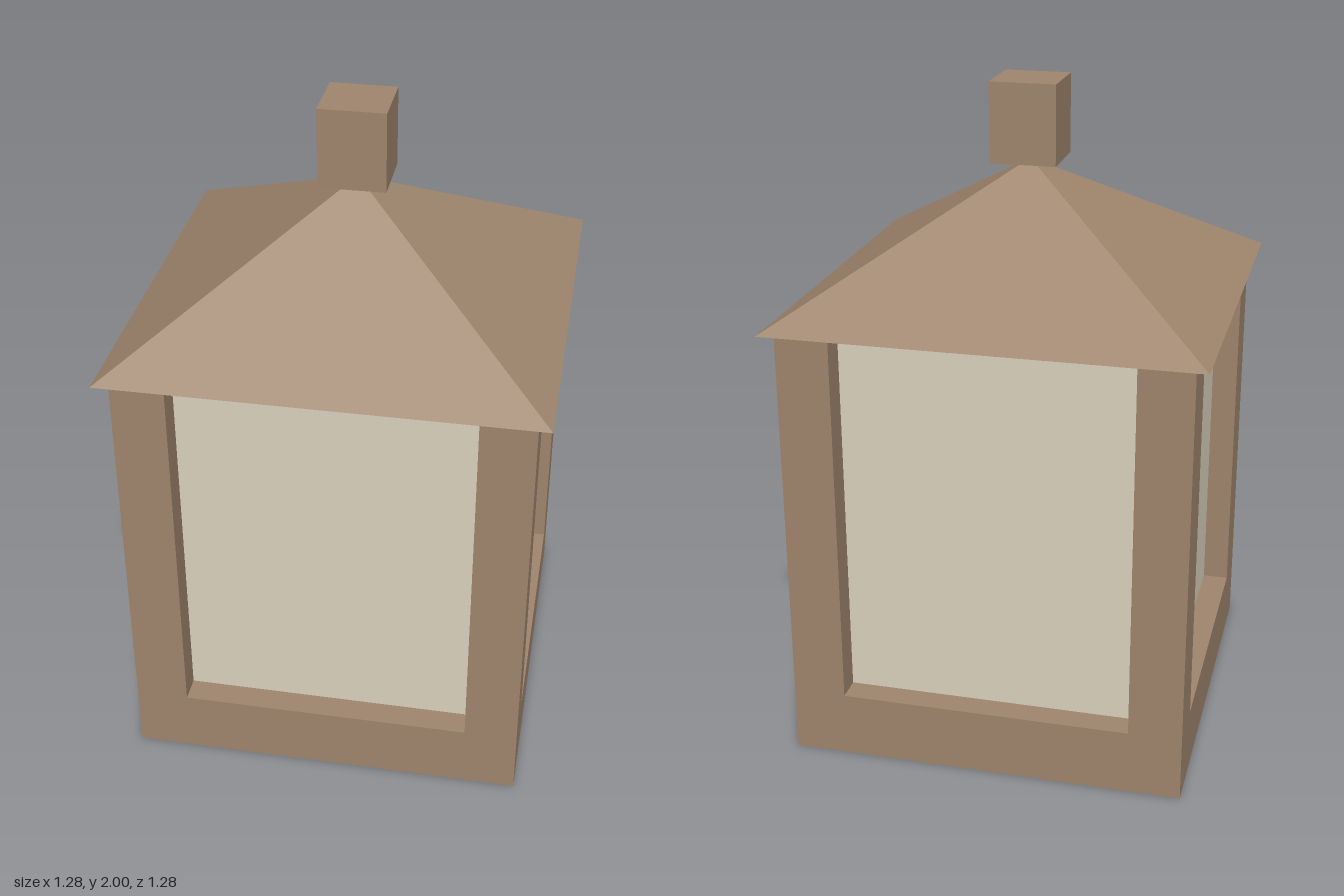
import * as THREE from 'three';

const wood = new THREE.MeshStandardMaterial({ color: 0xa0866e, flatShading: true, side: THREE.DoubleSide });
const paper = new THREE.MeshStandardMaterial({ color: 0xdbd3be, flatShading: true, side: THREE.DoubleSide });

const BASE_TOP = 0.2, EAVE = 1.36, APEX = 1.76, TOP = 2;
const HALF = 0.6, POST = 0.16, ROOF_HALF = 0.64;

// Box standing on y0, reaching up to y1
function block(name, width, y0, y1, x = 0, z = 0) {
  const mesh = new THREE.Mesh(new THREE.BoxGeometry(width, y1 - y0, width), wood);
  mesh.name = name;
  mesh.position.set(x, (y0 + y1) / 2, z);
  return mesh;
}

export function createModel() {
  const lantern = new THREE.Group();
  lantern.name = 'lantern';

  // Base: a hollow tray, open underneath (the box's bottom face is dropped)
  const base = block('base', HALF * 2, 0, BASE_TOP);
  const index = Array.from(base.geometry.index.array);
  index.splice(18, 6);
  base.geometry.setIndex(index);
  base.geometry.clearGroups();
  lantern.add(base);

  // Four corner posts
  const c = HALF - POST / 2;
  for (const sx of [-1, 1]) {
    for (const sz of [-1, 1]) {
      lantern.add(block('cornerPost', POST, BASE_TOP, EAVE, sx * c, sz * c));
    }
  }

  // Four panes, set in the middle of the posts
  const paneGeometry = new THREE.PlaneGeometry(c * 2, EAVE - BASE_TOP);
  paneGeometry.translate(0, (EAVE + BASE_TOP) / 2, c);
  for (let i = 0; i < 4; i++) {
    const pane = new THREE.Mesh(paneGeometry, paper);
    pane.name = 'pane';
    pane.rotation.y = i * Math.PI / 2;
    lantern.add(pane);
  }

  // Hollow pyramid roof with overhanging eaves
  const roofGeometry = new THREE.ConeGeometry(ROOF_HALF * Math.SQRT2, APEX - EAVE, 4, 1, true);
  roofGeometry.rotateY(Math.PI / 4);
  const roof = new THREE.Mesh(roofGeometry, wood);
  roof.name = 'roof';
  roof.position.y = (APEX + EAVE) / 2;
  lantern.add(roof);

  // Square finial resting on the apex
  lantern.add(block('finial', 0.2, APEX, TOP));

  return lantern;
}
